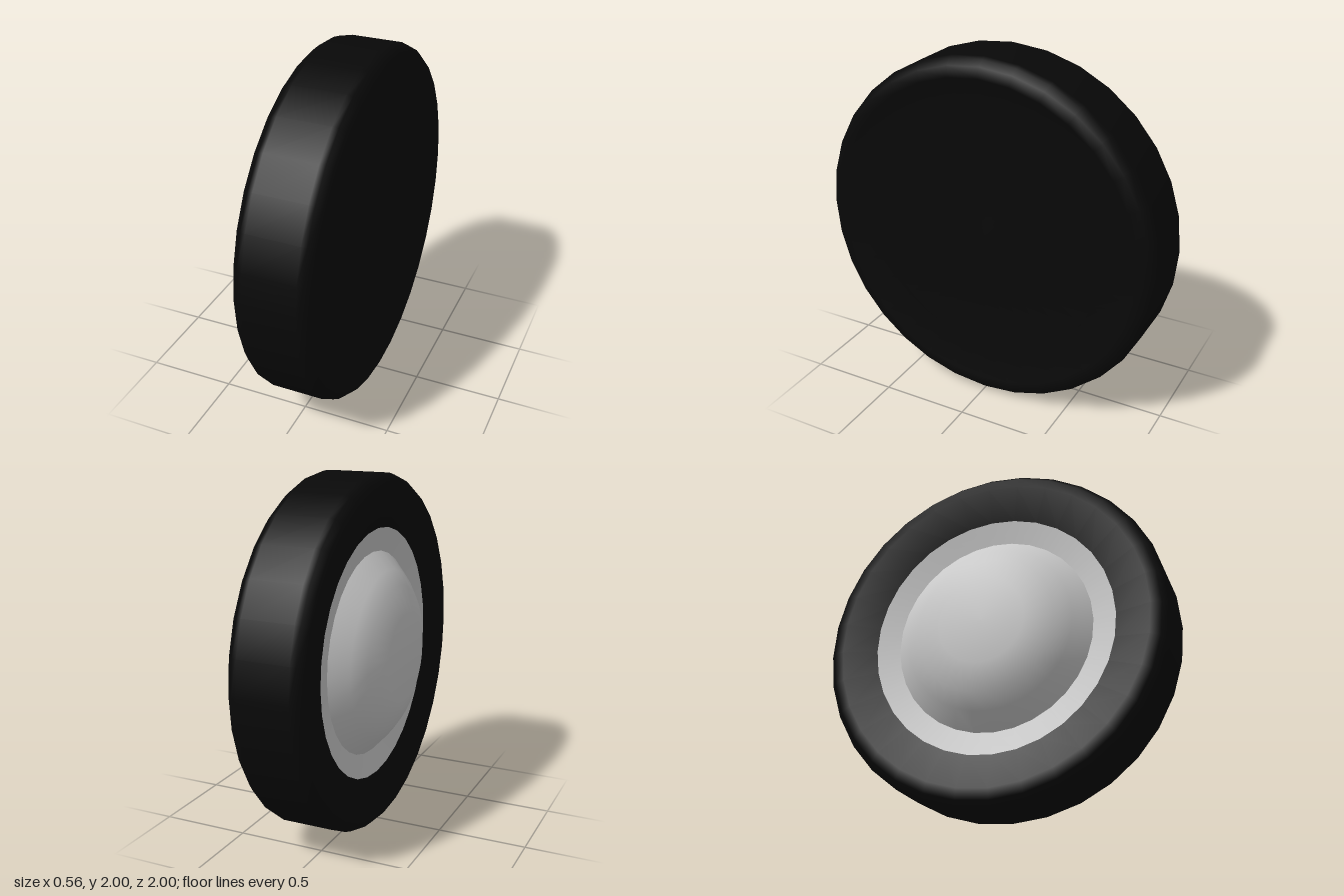
import * as THREE from 'three';

const SEGMENTS = 32;

// Spin a [radius, x] profile around the wheel axis (x), centred at y = 1.
function turned(name, profile, color) {
  const points = profile.map(([r, x]) => new THREE.Vector2(r, x));
  const geometry = new THREE.LatheGeometry(points, SEGMENTS);
  geometry.rotateZ(-Math.PI / 2);
  const material = new THREE.MeshStandardMaterial({ color });
  const mesh = new THREE.Mesh(geometry, material);
  mesh.name = name;
  mesh.position.y = 1;
  return mesh;
}

export function createModel() {
  const wheel = new THREE.Group();
  wheel.name = 'wheel';

  // Tyre: dished outer sidewall, rounded shoulders, tread, closed inner side
  wheel.add(turned('tyre', [
    [0.705, -0.11], [0.9, -0.165], [0.96, -0.153], [0.99, -0.12], [1, -0.09],
    [1, 0.2], [0.99, 0.23], [0.96, 0.263], [0.9, 0.275],
    [0.705, 0.22], [0, 0.22],
  ], 0x080808));

  // Rim: shallow ring sloping in towards the hub
  wheel.add(turned('rim', [
    [0.5, -0.065], [0.573, -0.08], [0.705, -0.11],
  ], 0xcccccc));

  // Hub cap: smooth dome with a flattened crown
  wheel.add(turned('hubCap', [
    [0, -0.28], [0.25, -0.28], [0.395, -0.225], [0.48, -0.167], [0.573, -0.08],
  ], 0xcccccc));

  return wheel;
}
